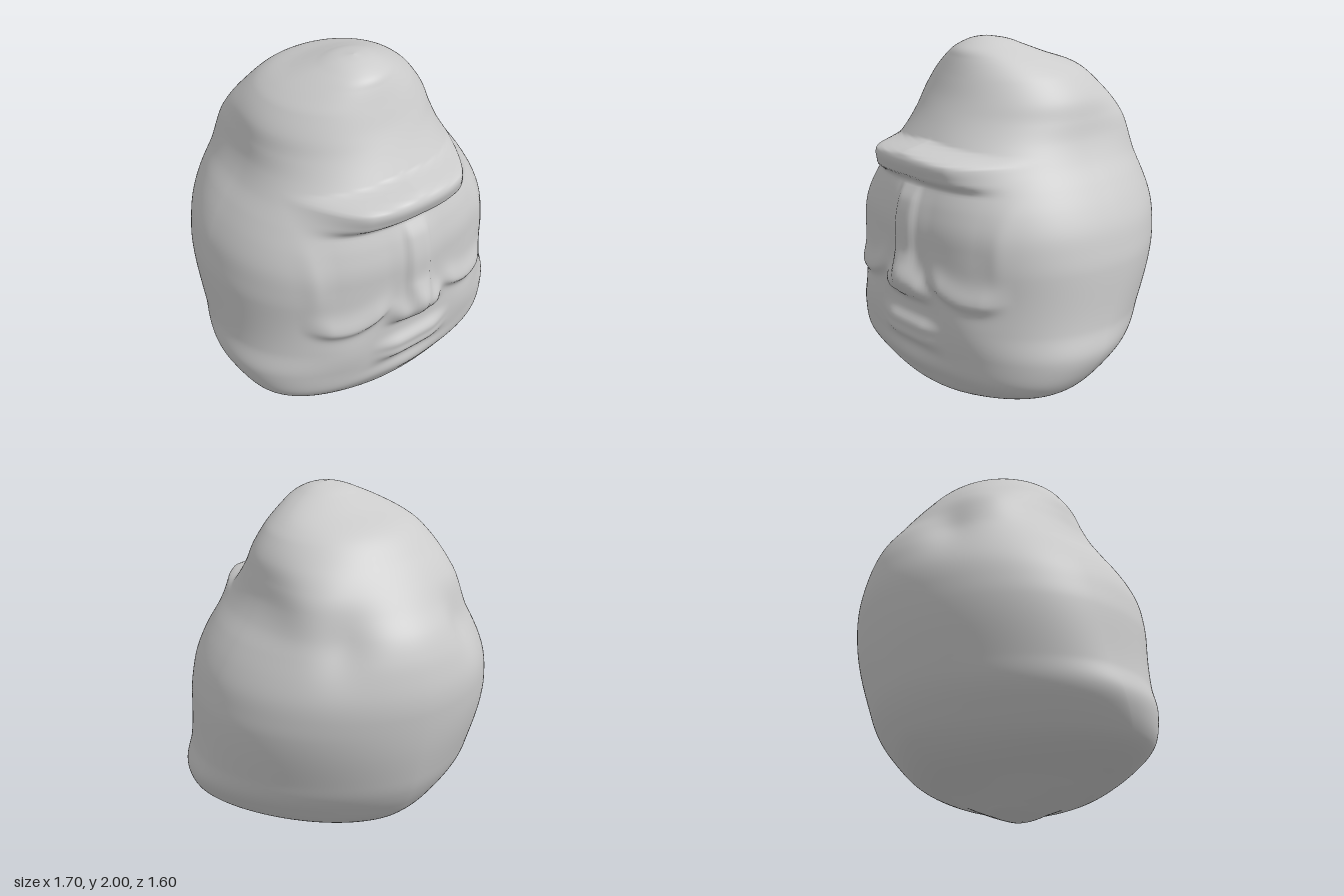
import * as THREE from 'three';

// Profiles as [height, value] pairs.
const halfWidth = [[0, 0], [0.01, 0.08], [0.05, 0.2], [0.1, 0.33], [0.15, 0.45], [0.2, 0.6], [0.25, 0.71], [0.3, 0.77],
  [0.4, 0.83], [0.48, 0.85], [0.6, 0.83], [0.9, 0.825], [1.0, 0.81], [1.1, 0.785], [1.2, 0.74], [1.3, 0.68], [1.4, 0.61],
  [1.5, 0.56], [1.6, 0.53], [1.7, 0.495], [1.8, 0.42], [1.85, 0.36], [1.9, 0.28], [1.95, 0.18], [1.985, 0.09], [2, 0]];
const frontZ = [[0, 0.15], [0.01, 0.21], [0.05, 0.3], [0.1, 0.42], [0.13, 0.52], [0.17, 0.58], [0.25, 0.63], [0.33, 0.67],
  [0.45, 0.685], [0.6, 0.695], [0.8, 0.7], [1.0, 0.715], [1.1, 0.712], [1.2, 0.69], [1.3, 0.65], [1.4, 0.61], [1.5, 0.55],
  [1.6, 0.49], [1.7, 0.435], [1.8, 0.39], [1.9, 0.345], [1.94, 0.32], [1.97, 0.27], [1.99, 0.21], [2, 0.15]];
const backZ = [[0, 0.15], [0.02, 0], [0.05, -0.07], [0.1, -0.17], [0.2, -0.41], [0.3, -0.55], [0.4, -0.63], [0.5, -0.685],
  [0.6, -0.72], [0.8, -0.77], [1.0, -0.8], [1.1, -0.803], [1.2, -0.79], [1.3, -0.765], [1.4, -0.72], [1.5, -0.645],
  [1.6, -0.57], [1.7, -0.49], [1.8, -0.4], [1.85, -0.32], [1.9, -0.17], [1.95, -0.04], [1.98, 0.04], [2, 0.15]];
// Depth at which each section is widest: the jaw corners sit forward.
const wideZ = [[0, 0.15], [0.1, 0.24], [0.2, 0.28], [0.3, 0.24], [0.45, 0.13], [0.7, 0.02], [1, -0.03], [1.4, -0.06],
  [1.7, -0.04], [1.85, 0], [1.95, 0.1], [2, 0.15]];
// Roundness of the back half: below 2 tapers behind the jaw, above 2 is boxier.
const backPower = [[0, 2], [0.15, 1.75], [0.35, 1.62], [0.6, 1.74], [0.9, 1.87], [1.4, 1.9], [1.7, 2.1], [2, 2]];

// Cubic Hermite interpolation of a profile.
function sample(p, y) {
  let i = 0;
  while (i < p.length - 2 && y > p[i + 1][0]) i++;
  const slope = (a, b) => (p[b][1] - p[a][1]) / (p[b][0] - p[a][0]);
  const m0 = slope(Math.max(i - 1, 0), i + 1);
  const m1 = slope(i, Math.min(i + 2, p.length - 1));
  const h = p[i + 1][0] - p[i][0], t = (y - p[i][0]) / h, t2 = t * t, t3 = t2 * t;
  return (2 * t3 - 3 * t2 + 1) * p[i][1] + (t3 - 2 * t2 + t) * h * m0
    + (3 * t2 - 2 * t3) * p[i + 1][1] + (t3 - t2) * h * m1;
}

const step = (a, b, v) => THREE.MathUtils.smoothstep(v, a, b);
const range = (a, b, soft, v) => step(a - soft, a + soft, v) * (1 - step(b - soft, b + soft, v));
const bump = (...d) => Math.exp(-d.reduce((s, v) => s + v * v, 0));

// Forward relief of the face.
function faceRelief(x, y) {
  const ax = Math.abs(x);
  let d = 0;

  // headband: a ledge peaked at the middle, rolled along its upper edge
  const ends = 1 - step(0.28, 0.55, ax);
  const top = 1.48 - 0.09 * Math.min(ax, 0.5);
  const low = 1.325 - 0.03 * ax;
  d += ends * (0.07 + 0.065 * step(1.32, 1.44, y)) * (step(low - 0.03, low + 0.03, y) - step(top - 0.02, top + 0.02, y));

  // nose bridge, pointed tip, nostrils, with a crisp underside
  d += 0.022 * (1 - step(0.045, 0.095, ax)) * range(0.87, 1.27, 0.06, y);
  const v = y - 0.81;
  d += step(0.655, 0.72, y) * (0.093 * bump(x / 0.085, v / (v > 0 ? 0.095 : 0.12))
    + 0.045 * bump((ax - 0.115) / 0.06, (y - 0.76) / 0.07));

  // closed eyes: soft sagging lids, full above and crisp below
  const ex = (ax - 0.38) / 0.2;
  const lid = 0.75 + 0.05 * ex * ex - 0.03 * ex;
  const w = y - lid;
  d += 0.036 * (1 - step(0.55, 1.25, Math.abs(ex))) * bump(w / (w > 0 ? 0.08 : 0.04));
  d -= 0.01 * range(0.13, 0.5, 0.06, ax) * range(0.92, 1.25, 0.1, y);

  // vertical folds beside the eyes
  d += 0.007 * bump((ax - 0.56) / 0.04) * range(0.9, 1.2, 0.15, y);

  // full lips with tapering ends, and the hollow below them
  d += 0.034 * (1 - step(0.1, 0.29, ax)) * (bump((y - 0.545) / 0.042) + bump((y - 0.475) / 0.042));
  d -= 0.012 * bump(x / 0.25, (y - 0.39) / 0.04);

  // chin and cheeks
  d += 0.01 * bump(x / 0.15, (y - 0.3) / 0.07);
  d += 0.015 * bump((ax - 0.42) / 0.16, (y - 0.58) / 0.13);
  return d;
}

// Sideways relief: hair lobes behind the crown, with grooves around them.
function sideRelief(ax, y, z) {
  return 0.04 * bump((ax - 0.43) / 0.2, (y - 1.55) / 0.17, (z + 0.42) / 0.16)
    - 0.01 * bump((y - 1.5) / 0.2, (z + 0.12) / 0.15)
    - 0.035 * bump((ax - 0.38) / 0.14, (y - 1.38) / 0.17, (z + 0.62) / 0.11);
}

// Closed skin lofted through superellipse sections from base to crown.
function headGeometry(rows = 230, cols = 270) {
  const pos = [0, 0, 0.15], index = [];
  const pow = (v, e) => Math.sign(v) * Math.abs(v) ** e;
  for (let i = 1; i < rows; i++) {
    const y = 1 - Math.cos(Math.PI * i / rows);
    const w = sample(halfWidth, y), f = sample(frontZ, y), b = sample(backZ, y), c = sample(wideZ, y);
    const frontPower = 2 + 0.4 * range(0.2, 1.5, 0.15, y);
    const rearPower = sample(backPower, y);
    for (let j = 0; j < cols; j++) {
      const u = 2 * Math.PI * j / cols;
      const a = u - 0.35 * Math.sin(u); // more columns on the face
      const s = Math.sin(a), k = Math.cos(a);
      const e = 2 / (k > 0 ? frontPower : rearPower);
      let x = w * pow(s, e);
      let z = c + Math.abs(k) ** e * (k > 0 ? f - c : b - c);
      const side = sideRelief(Math.abs(x), y, z);
      if (k > 0) z += faceRelief(x, y) * step(0, 0.4, k);
      x += side * s;
      z += side * k;
      pos.push(x, y, z);
    }
  }
  pos.push(0, 2, 0.15);
  const last = pos.length / 3 - 1;
  const at = (i, j) => 1 + i * cols + j % cols;
  for (let j = 0; j < cols; j++) {
    index.push(0, at(0, j + 1), at(0, j));
    for (let i = 0; i < rows - 2; i++) {
      index.push(at(i, j), at(i, j + 1), at(i + 1, j + 1), at(i, j), at(i + 1, j + 1), at(i + 1, j));
    }
    index.push(last, at(rows - 2, j), at(rows - 2, j + 1));
  }
  const g = new THREE.BufferGeometry();
  g.setAttribute('position', new THREE.Float32BufferAttribute(pos, 3));
  g.setIndex(index);
  g.computeVertexNormals();
  return g;
}

export function createModel() {
  const group = new THREE.Group();
  group.name = 'sculptedHead';
  const head = new THREE.Mesh(headGeometry(), new THREE.MeshStandardMaterial({ color: 0xcccccc }));
  head.name = 'head';
  group.add(head);
  return group;
}
